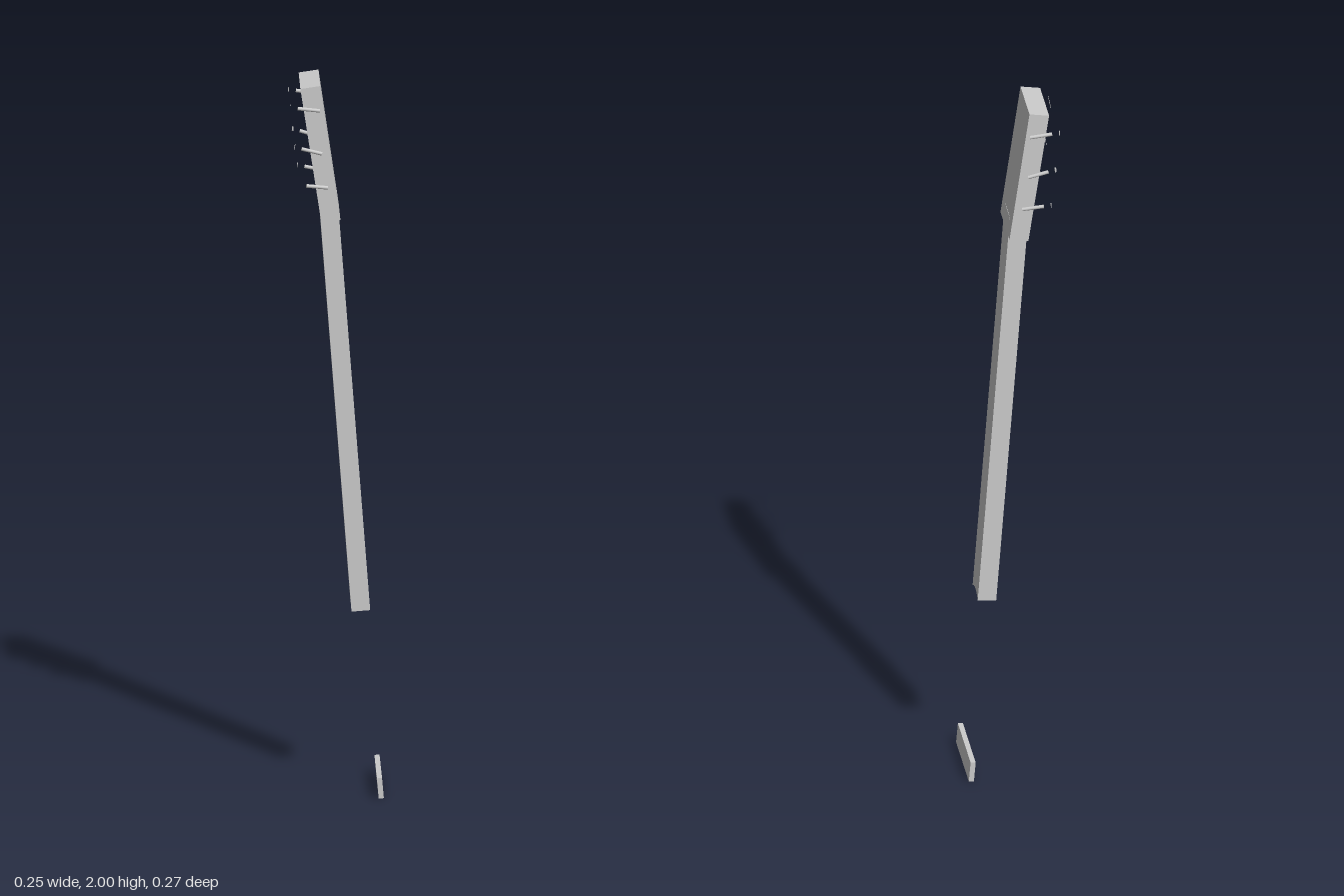
import * as THREE from 'three';

const material = new THREE.MeshStandardMaterial({ color: 0xcccccc });

function part(name, geometry) {
  const mesh = new THREE.Mesh(geometry, material);
  mesh.name = name;
  return mesh;
}

// Side profile in x/y (counter-clockwise), extruded from z0 to z1
function prism(name, points, z0, z1) {
  const shape = new THREE.Shape(points.map(([x, y]) => new THREE.Vector2(x, y)));
  const geometry = new THREE.ExtrudeGeometry(shape, { depth: z1 - z0, bevelEnabled: false });
  geometry.translate(0, 0, z0);
  return part(name, geometry);
}

// Leaning neck whose lower end is cut by a shallow arc
function createNeck() {
  const halfWidth = 0.048, length = 1.162, thickness = 0.051;
  const outline = new THREE.Shape();
  outline.moveTo(-halfWidth, 0);
  outline.quadraticCurveTo(0, 0.026, halfWidth, 0);
  outline.lineTo(halfWidth, length);
  outline.lineTo(-halfWidth, length);
  outline.closePath();
  const geometry = new THREE.ExtrudeGeometry(outline, {
    depth: thickness, bevelEnabled: false, curveSegments: 12,
  });
  geometry.rotateY(Math.PI / 2);
  const neck = part('neck', geometry);
  neck.position.set(0.053, 0.508, -0.005);
  neck.rotation.z = 0.076;
  return neck;
}

// Tuning peg: thin shaft ending in an oval button, rolled about the shaft
function createPeg(base, centre, roll) {
  const peg = new THREE.Group();
  peg.name = 'tuningPeg';
  const along = centre.clone().sub(base);
  const length = along.length();
  along.normalize();

  const shaft = part('pegShaft', new THREE.CylinderGeometry(0.005, 0.005, length - 0.02, 12));
  shaft.quaternion.setFromUnitVectors(new THREE.Vector3(0, 1, 0), along);
  shaft.position.copy(base).addScaledVector(along, (length - 0.02) / 2);

  const across = new THREE.Vector3(0, Math.cos(roll), Math.sin(roll));
  across.addScaledVector(along, -across.dot(along)).normalize();
  const normal = new THREE.Vector3().crossVectors(across, along);
  const button = part('pegButton', new THREE.CylinderGeometry(1, 1, 0.012, 28));
  button.geometry.scale(0.028, 1, 0.036);
  button.quaternion.setFromRotationMatrix(
    new THREE.Matrix4().makeBasis(along, normal, across.clone().negate()));
  button.position.copy(centre);
  peg.add(shaft, button);
  return peg;
}

export function createModel() {
  const model = new THREE.Group();
  model.name = 'guitarNeck';

  model.add(createNeck());
  model.add(prism('headstock',
    [[-0.03, 1.615], [0.022, 1.622], [-0.033, 2.0], [-0.087, 1.992]], -0.09, 0.08));
  model.add(prism('bridge',
    [[0.125, 0], [0.139, 0.001], [0.134, 0.058], [0.12, 0.057]], -0.127, 0.113));

  // Three pegs per side: shaft start, button centre, button depth and roll
  const rows = [
    { base: [-0.034, 1.931], tip: [-0.114, 1.942], left: [0.09, 0.5], right: [-0.099, 0] },
    { base: [-0.029, 1.81], tip: [-0.103, 1.831], left: [0.09, -0.16], right: [-0.1, 0.38] },
    { base: [-0.013, 1.714], tip: [-0.09, 1.727], left: [0.102, 0.63], right: [-0.106, -0.5] },
  ];
  for (const { base, tip, left, right } of rows) {
    for (const [[z, roll], z0] of [[left, 0.083], [right, -0.093]]) {
      model.add(createPeg(new THREE.Vector3(...base, z0), new THREE.Vector3(...tip, z), roll));
    }
  }
  return model;
}
